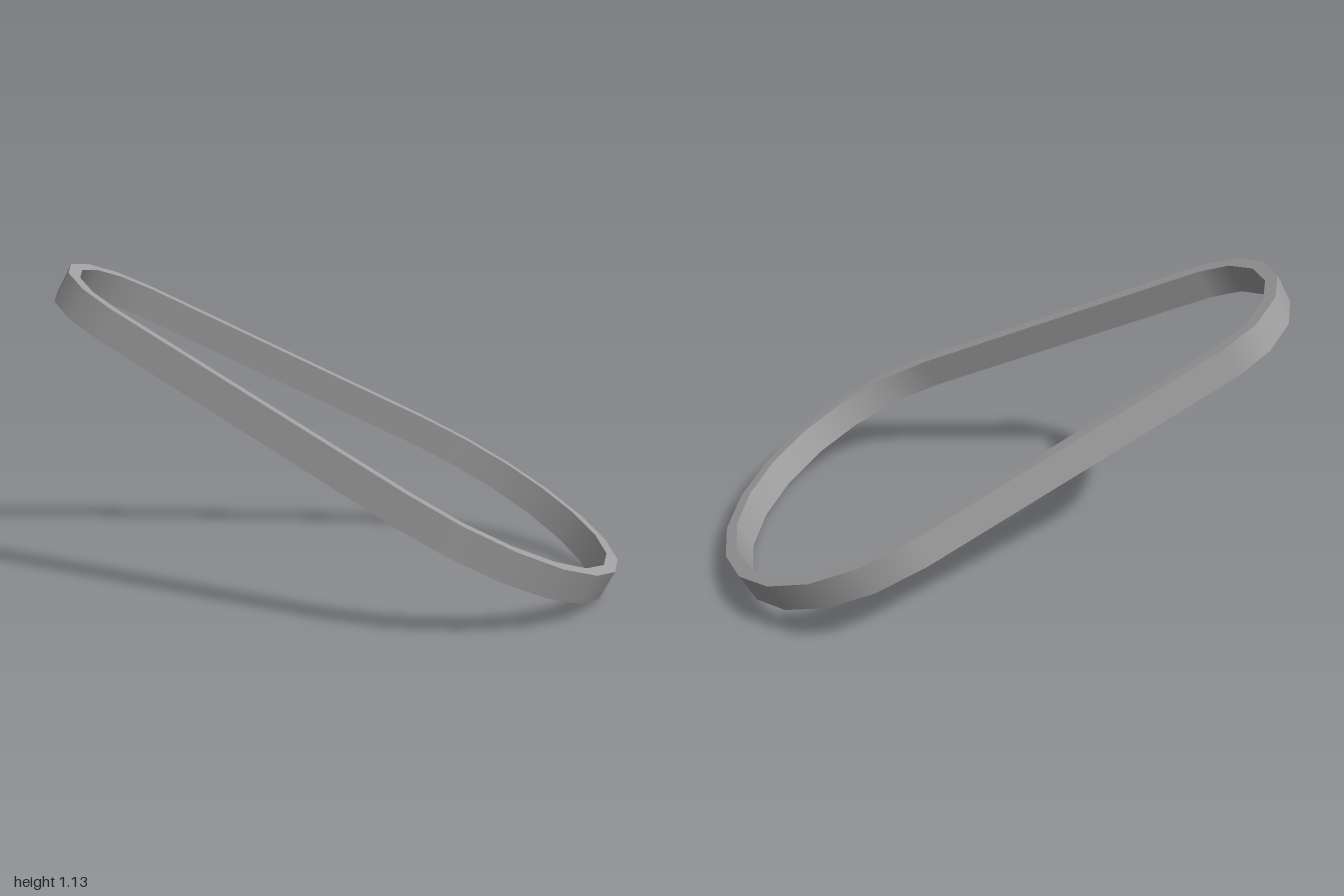
import * as THREE from 'three';

const TILT = 28 * Math.PI / 180;
const LENGTH = 2.205, WIDTH = 0.113, THICK = 0.045;
const BIG = 0.65, SMALL = 0.333;

// Closed outline round two pulleys: a point on the centre circle plus its outward direction
function beltOutline() {
  const xBig = LENGTH / 2 - BIG, xSmall = SMALL - LENGTH / 2;
  const lean = Math.asin((BIG - SMALL) / (xBig - xSmall));
  const half = Math.PI / 2 + lean;
  const stations = [];
  const arc = (cx, r, from, to, steps) => {
    for (let i = 0; i <= steps; i++) {
      const a = from + (to - from) * i / steps;
      stations.push({ cx, r, nx: Math.cos(a), nz: Math.sin(a) });
    }
  };
  arc(xBig, BIG, -half, half, 12);
  arc(xSmall, SMALL, half, 2 * Math.PI - half, 6);
  return stations;
}

// Rectangular band swept round the outline, smooth along its length with sharp rims
function beltGeometry() {
  const stations = beltOutline(), h = WIDTH / 2;
  // Each strip: [inset, y] of its two edges, then normal as [outward, up]
  const strips = [
    [[0, h], [THICK, h], [0, 1]],
    [[THICK, h], [THICK, -h], [-1, 0]],
    [[THICK, -h], [0, -h], [0, -1]],
    [[0, -h], [0, h], [1, 0]],
  ];
  const pos = [], nor = [], idx = [];
  for (const [e0, e1, [out, up]] of strips) {
    const base = pos.length / 3, n = stations.length;
    stations.forEach(({ cx, r, nx, nz }, i) => {
      for (const [inset, y] of [e0, e1]) {
        pos.push(cx + (r - inset) * nx, y, (r - inset) * nz);
        nor.push(out * nx, up, out * nz);
      }
      const a = base + 2 * i, d = base + 2 * ((i + 1) % n);
      idx.push(a, a + 1, d + 1, a, d + 1, d);
    });
  }
  const g = new THREE.BufferGeometry();
  g.setAttribute('position', new THREE.Float32BufferAttribute(pos, 3));
  g.setAttribute('normal', new THREE.Float32BufferAttribute(nor, 3));
  g.setIndex(idx);
  return g;
}

export function createModel() {
  const grey = new THREE.MeshStandardMaterial({ color: 0xa0a0a0 });
  grey.name = 'beltGrey';
  const group = new THREE.Group();
  group.name = 'driveBelt';
  const belt = new THREE.Mesh(beltGeometry(), grey);
  belt.name = 'belt';
  // Slope down towards +x, lowest rim resting on the ground
  belt.rotation.z = -TILT;
  belt.position.y = (LENGTH * Math.sin(TILT) + WIDTH * Math.cos(TILT)) / 2;
  group.add(belt);
  return group;
}
